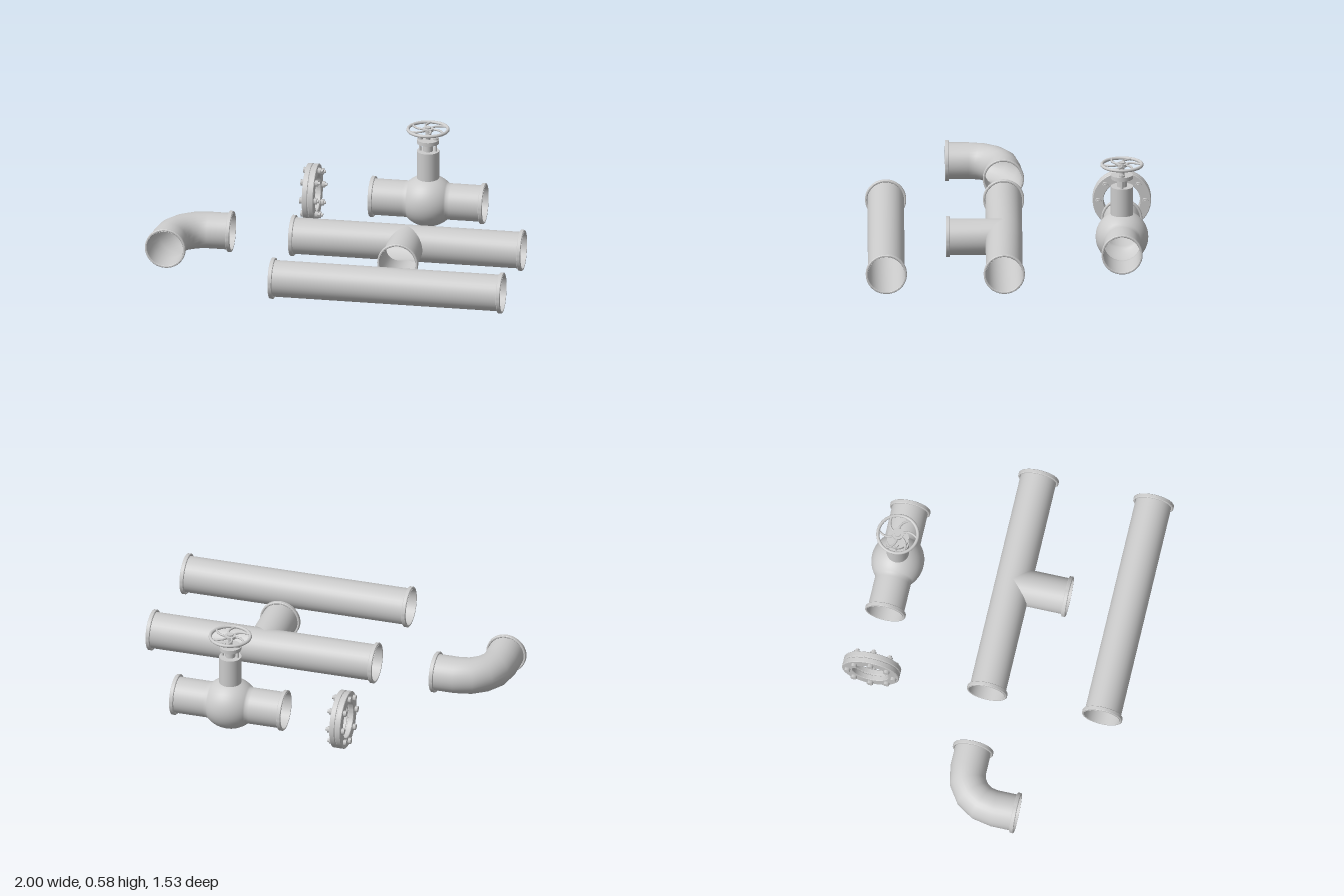
import * as THREE from 'three';
import { toCreasedNormals } from 'three/addons/utils/BufferGeometryUtils.js';

const mat = new THREE.MeshStandardMaterial({ color: 0xcccccc, side: THREE.DoubleSide });
const R = 0.098, RIM = 0.11, RIM_T = 0.022, AXIS_Y = 0.157, SEG = 32;
const V = (x, y, z) => new THREE.Vector3(x, y, z);

function add(parent, name, geo, x = 0, y = 0, z = 0) {
  const mesh = new THREE.Mesh(geo, mat);
  mesh.name = name;
  mesh.position.set(x, y, z);
  parent.add(mesh);
  return mesh;
}

function makeGroup(parent, name, x, y, z) {
  const g = new THREE.Group();
  g.name = name;
  g.position.set(x, y, z);
  parent.add(g);
  return g;
}

// Smooth open tube through stations; each station maps an angle to a point
function loft(stations) {
  const pos = [], idx = [];
  stations.forEach((f, i) => {
    for (let k = 0; k < SEG; k++) {
      const p = f((k / SEG) * Math.PI * 2);
      pos.push(p.x, p.y, p.z);
      if (i === 0) continue;
      const n = (k + 1) % SEG, a = (i - 1) * SEG, b = i * SEG;
      idx.push(a + k, a + n, b + k, a + n, b + n, b + k);
    }
  });
  const g = new THREE.BufferGeometry();
  g.setAttribute('position', new THREE.Float32BufferAttribute(pos, 3));
  g.setIndex(idx);
  g.computeVertexNormals();
  return g;
}

// Annular disc centred on the origin, its axis along x
function ringGeo(outer, inner, depth, bevel = 0.003) {
  const s = new THREE.Shape().absarc(0, 0, outer - bevel, 0, Math.PI * 2);
  s.holes.push(new THREE.Path().absarc(0, 0, inner + bevel, 0, Math.PI * 2, true));
  const g = new THREE.ExtrudeGeometry(s, {
    depth: depth - 2 * bevel, curveSegments: 40, bevelEnabled: true,
    bevelThickness: bevel, bevelSize: bevel, bevelSegments: 1,
  });
  g.translate(0, 0, -(depth / 2 - bevel)).rotateY(Math.PI / 2);
  return toCreasedNormals(g, 0.6);
}

// Rim at a pipe end; turn rotates it about y
function rim(parent, x, z, turn = 0) {
  add(parent, 'pipeRim', ringGeo(RIM, R, RIM_T), x, 0, z).rotation.y = turn;
}

function rod(parent, name, r, y0, y1, x = 0, sides = 24, z = 0) {
  return add(parent, name, new THREE.CylinderGeometry(r, r, y1 - y0, sides), x, (y0 + y1) / 2, z);
}

function straightPipe(root) {
  const g = makeGroup(root, 'straightPipe', 0.37, AXIS_Y, 0.65);
  const end = x => t => V(x, R * Math.sin(t), R * Math.cos(t));
  add(g, 'pipeWall', loft([end(-0.63), end(0.63)]));
  for (const s of [-1, 1]) rim(g, s * (0.63 - RIM_T / 2), 0);
}

// Tee with mitred joints, so that the run opens into the branch
function teePipe(root) {
  const g = makeGroup(root, 'teePipe', 0.37, AXIS_Y, 0.02);
  for (const s of [-1, 1]) {
    add(g, 'teeRun', loft([
      t => V(s * Math.max(0, R * Math.cos(t)), R * Math.sin(t), R * Math.cos(t)),
      t => V(s * 0.63, R * Math.sin(t), R * Math.cos(t)),
    ]));
    rim(g, s * (0.63 - RIM_T / 2), 0);
  }
  add(g, 'teeBranch', loft([
    t => V(R * Math.cos(t), R * Math.sin(t), Math.abs(R * Math.cos(t))),
    t => V(R * Math.cos(t), R * Math.sin(t), 0.31),
  ]));
  rim(g, 0, 0.31 - RIM_T / 2, Math.PI / 2);
}

// Quarter bend in four segments, with a straight stub at each end
function elbowPipe(root) {
  const g = makeGroup(root, 'elbowPipe', -0.705, AXIS_Y, 0.205);
  const bend = 0.185, stub = 0.127;
  const station = (a, dx, dz) => t => {
    const d = bend + R * Math.cos(t);
    return V(-d * Math.cos(a) + dx, R * Math.sin(t), -d * Math.sin(a) + dz);
  };
  const stations = [station(0, 0, stub)];
  for (let i = 0; i <= 4; i++) stations.push(station((i * Math.PI) / 8, 0, 0));
  stations.push(station(Math.PI / 2, stub, 0));
  add(g, 'elbowWall', loft(stations));
  rim(g, -bend, stub - RIM_T / 2, Math.PI / 2);
  rim(g, stub - RIM_T / 2, -bend);
}

// Paired flange plates with a gasket and eight hex bolts
function boltedFlange(root) {
  const g = makeGroup(root, 'boltedFlange', -0.258, AXIS_Y, -0.611);
  for (const s of [-1, 1]) add(g, 'flangePlate', ringGeo(0.156, R, 0.029), s * 0.0165);
  add(g, 'gasket', ringGeo(0.152, R + 0.002, 0.006, 0.001));
  for (let i = 0; i < 8; i++) {
    const a = (i * Math.PI) / 4;
    const bolt = makeGroup(g, 'bolt', 0, 0.126 * Math.cos(a), 0.126 * Math.sin(a));
    bolt.rotation.z = -Math.PI / 2;
    rod(bolt, 'boltShank', 0.009, -0.035, 0.058, 0, 12);
    for (const [name, y0, y1] of [['boltHead', -0.047, -0.03], ['boltNut', 0.03, 0.048]])
      rod(bolt, name, 0.017, y0, y1, 0, 6).material = mat;
  }
}

function valve(root) {
  const g = makeGroup(root, 'gateValve', 0.37, AXIS_Y, -0.61);

  // Ball-shaped body flowing into the pipe on both sides
  const profile = [new THREE.Vector2(R, -0.31), new THREE.Vector2(R, -0.128)];
  for (let i = 0; i <= 20; i++) {
    const a = (-0.8 + (1.6 * i) / 20);
    profile.push(new THREE.Vector2(0.141 * Math.cos(a), 0.152 * Math.sin(a)));
  }
  profile.push(new THREE.Vector2(R, 0.128), new THREE.Vector2(R, 0.31));
  add(g, 'valveBody', new THREE.LatheGeometry(profile, 40).rotateZ(-Math.PI / 2));
  for (const s of [-1, 1]) rim(g, s * (0.31 - RIM_T / 2), 0);

  // Bonnet, gland and stem
  rod(g, 'bonnet', 0.06, 0.118, 0.284, 0, 32);
  rod(g, 'glandSleeve', 0.027, 0.28, 0.332);
  rod(g, 'glandPlate', 0.059, 0.328, 0.349, 0, 32);
  for (const s of [-1, 1]) {
    rod(g, 'glandStud', 0.007, 0.28, 0.362, s * 0.042, 12);
    rod(g, 'glandNut', 0.015, 0.348, 0.359, s * 0.042, 6);
  }
  rod(g, 'stem', 0.013, 0.33, 0.412);

  // Handwheel with curved spokes
  const wheel = makeGroup(g, 'handwheel', 0, 0.406, 0);
  add(wheel, 'wheelRim', new THREE.TorusGeometry(0.107, 0.0088, 12, 48).rotateX(Math.PI / 2));
  rod(wheel, 'wheelHub', 0.03, -0.009, 0.006);
  rod(wheel, 'wheelNut', 0.018, 0.004, 0.014, 0, 6);
  for (let i = 0; i < 6; i++) {
    const curve = new THREE.QuadraticBezierCurve3(V(0.024, 0, 0), V(0.07, 0, -0.005), V(0.092, 0, 0.052));
    add(wheel, 'wheelSpoke', new THREE.TubeGeometry(curve, 12, 0.006, 8)).rotation.y = (i * Math.PI) / 3;
  }
}

export function createModel() {
  const root = new THREE.Group();
  root.name = 'pipeFittings';
  straightPipe(root);
  teePipe(root);
  elbowPipe(root);
  boltedFlange(root);
  valve(root);
  return root;
}
